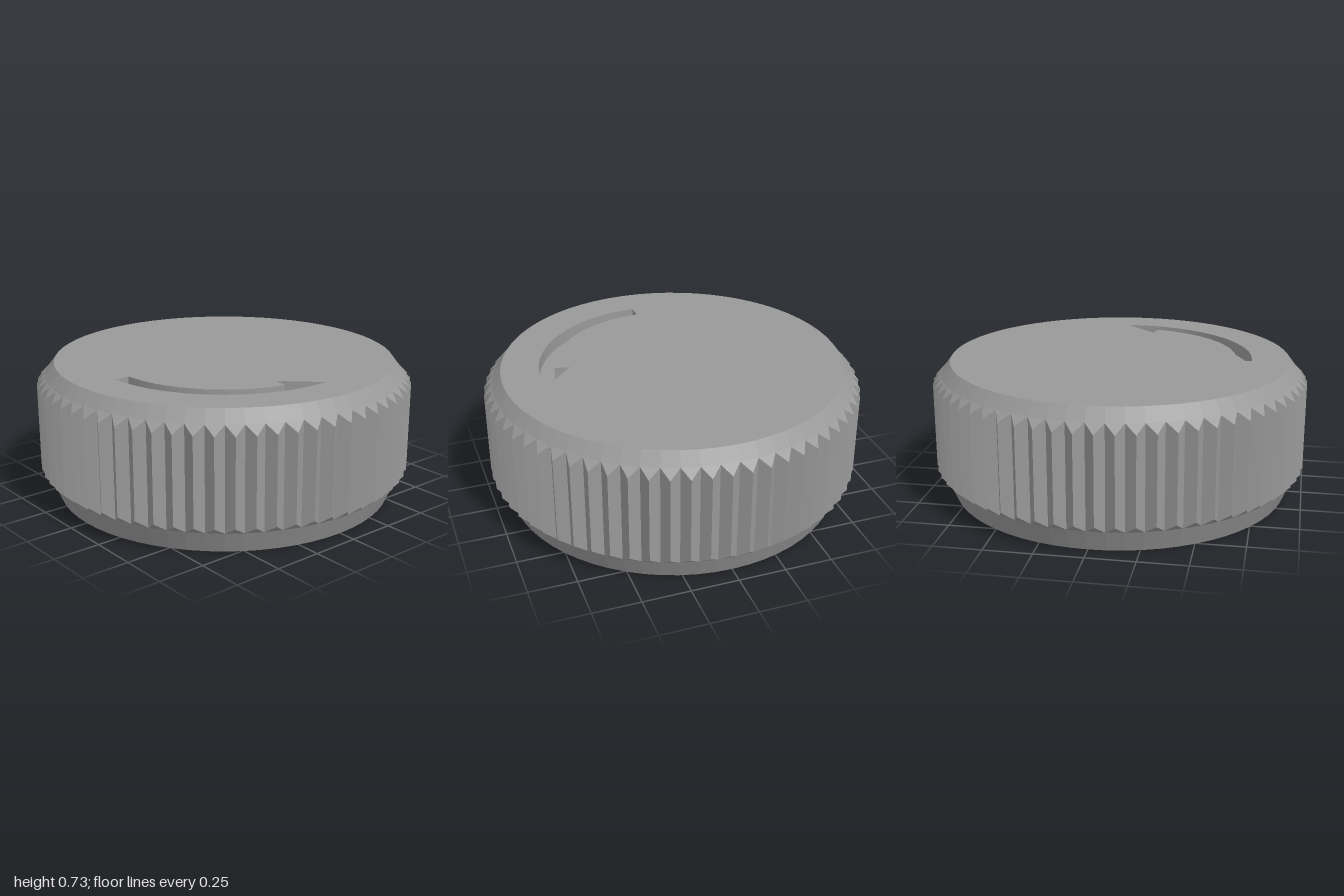
import * as THREE from 'three';

const TEETH = 64, STEP = (Math.PI * 2) / TEETH;
const H = 0.725, R_CAP = 0.907, R_ROOT = 0.956, R_TIP = 1.001;
const ROOT_LOW = 0.116, ROOT_HIGH = 0.66, TIP_LOW = 0.158, TIP_HIGH = 0.615;
const ARROW_DEPTH = 0.07, SOCKET_DEPTH = 0.5;

const grey = new THREE.MeshStandardMaterial({ color: 0x999999, flatShading: true });
const greyBoth = new THREE.MeshStandardMaterial({ color: 0x999999, flatShading: true, side: THREE.DoubleSide });

const polar = (r, a, y) => [r * Math.sin(a), y, r * Math.cos(a)];

// Mesh from a list of polygons (each a convex fan of [x, y, z] corners)
function facets(name, polys, material = grey) {
  const pos = [];
  for (const p of polys)
    for (let i = 1; i < p.length - 1; i++) pos.push(...p[0], ...p[i], ...p[i + 1]);
  const geo = new THREE.BufferGeometry();
  geo.setAttribute('position', new THREE.Float32BufferAttribute(pos, 3));
  geo.computeVertexNormals();
  const mesh = new THREE.Mesh(geo, material);
  mesh.name = name;
  return mesh;
}

// Horizontal face from [x, z] outlines, facing up or down
function plate(name, outline, hole, y, up) {
  const s = up ? -1 : 1;
  const pts = (list) => list.map(([x, z]) => new THREE.Vector2(x, z * s));
  const shape = new THREE.Shape(pts(outline));
  if (hole) shape.holes.push(new THREE.Path(pts(hole)));
  const geo = new THREE.ShapeGeometry(shape).rotateX((s * Math.PI) / 2).translate(0, y, 0);
  const mesh = new THREE.Mesh(geo, grey);
  mesh.name = name;
  return mesh;
}

// Sunken pocket: side walls plus floor
function pocket(name, outline, yRim, yFloor) {
  const group = new THREE.Group();
  group.name = name;
  const walls = outline.map(([x, z], i) => {
    const [x2, z2] = outline[(i + 1) % outline.length];
    return [[x, yRim, z], [x2, yRim, z2], [x2, yFloor, z2], [x, yFloor, z]];
  });
  group.add(facets(name + 'Walls', walls, greyBoth));
  group.add(plate(name + 'Floor', outline, null, yFloor, yFloor < yRim));
  return group;
}

// Curved arrow: outer arc, tip, barb, inner arc
function arrowOutline() {
  const pts = [], n = 24, inner = 0.624, outer = 0.706;
  const outerEnd = Math.PI / 2 + 0.1, innerEnd = Math.atan2(0.612, 0.12);
  for (let i = 0; i <= n; i++) {
    const a = (outerEnd * i) / n;
    pts.push([outer * Math.sin(a), outer * Math.cos(a)]);
  }
  pts.push([0.535, 0.105]);
  for (let i = n; i >= 0; i--) {
    const a = (innerEnd * i) / n;
    pts.push([inner * Math.sin(a), inner * Math.cos(a)]);
  }
  return pts;
}

// Round socket with two flats, turned by one tooth
function socketOutline() {
  const pts = [];
  for (const side of [0, Math.PI])
    for (let i = -3; i <= 3; i++) {
      const a = STEP + side + (i * Math.PI) / 12;
      pts.push([0.4 * Math.cos(a), 0.4 * Math.sin(a)]);
    }
  return pts;
}

export function createModel() {
  const knob = new THREE.Group();
  knob.name = 'knob';

  const lower = [], upper = [], ridges = [], rim = [];
  for (let i = 0; i < TEETH; i++) {
    const a = i * STEP, b = a + STEP, m = a + STEP / 2;
    const low0 = polar(R_ROOT, a, ROOT_LOW), low1 = polar(R_ROOT, b, ROOT_LOW);
    const high0 = polar(R_ROOT, a, ROOT_HIGH), high1 = polar(R_ROOT, b, ROOT_HIGH);
    const tipLow = polar(R_TIP, m, TIP_LOW), tipHigh = polar(R_TIP, m, TIP_HIGH);
    // Chamfers
    lower.push([polar(R_CAP, a, 0), polar(R_CAP, b, 0), low1, low0]);
    upper.push([high0, high1, polar(R_CAP, b, H), polar(R_CAP, a, H)]);
    // Grip tooth: two flanks and two sloped ends
    ridges.push([low0, tipLow, tipHigh, high0], [tipLow, low1, high1, tipHigh]);
    ridges.push([low0, low1, tipLow], [high0, tipHigh, high1]);
    rim.push([R_CAP * Math.sin(a), R_CAP * Math.cos(a)]);
  }
  knob.add(facets('lowerChamfer', lower), facets('upperChamfer', upper), facets('gripRidges', ridges));

  // Top face with engraved arrow, underside with socket
  const arrow = arrowOutline(), socket = socketOutline();
  knob.add(plate('topFace', rim, arrow, H, true));
  knob.add(pocket('arrowRecess', arrow, H, H - ARROW_DEPTH));
  knob.add(plate('bottomFace', rim, socket, 0, false));
  knob.add(pocket('shaftSocket', socket, 0, SOCKET_DEPTH));
  return knob;
}
